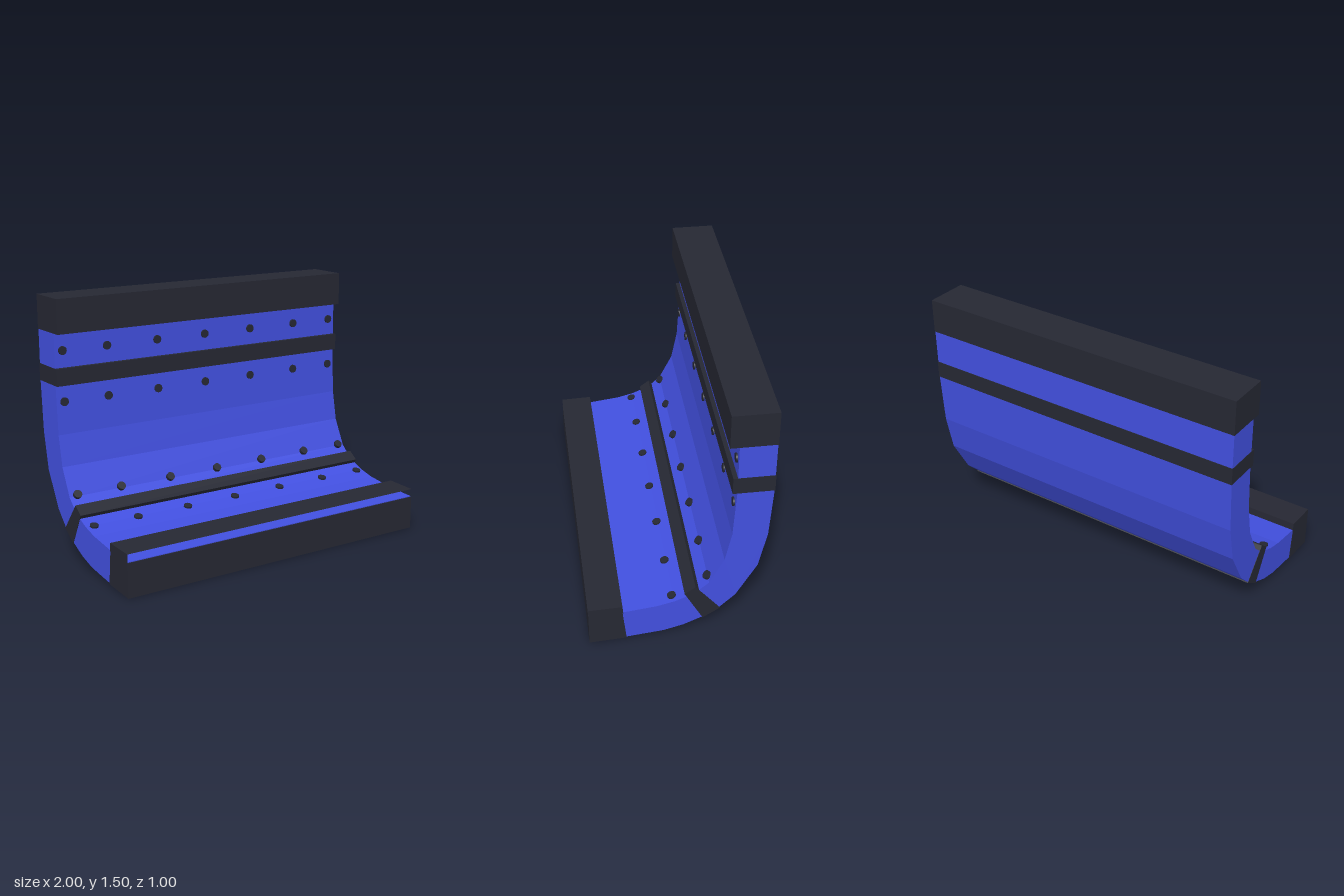
import * as THREE from 'three';

const blue = new THREE.MeshStandardMaterial({ color: 0x4250e0 });
const dark = new THREE.MeshStandardMaterial({ color: 0x262833 });

// Extrudes a side profile of [z, y] points along x, centred on x = 0
function profileMesh(name, points, width, material) {
  const shape = new THREE.Shape(points.map(([z, y]) => new THREE.Vector2(z, y)));
  const geometry = new THREE.ExtrudeGeometry(shape, { depth: width, bevelEnabled: false });
  geometry.translate(0, 0, -width / 2).rotateY(-Math.PI / 2);
  const mesh = new THREE.Mesh(geometry, material);
  mesh.name = name;
  return mesh;
}

// Thin lip with an open front: top, back and both ends only
function openLip(name, [frontBottom, frontTop, backTop, backBottom], material) {
  const ring = [frontBottom, frontTop, backTop, backBottom];
  const corners = [-1, 1].flatMap((x) => ring.map(([z, y]) => [x, y, z])).flat();
  const quads = [[1, 5, 6, 2], [2, 6, 7, 3], [0, 1, 2, 3], [4, 7, 6, 5]];
  let geometry = new THREE.BufferGeometry();
  geometry.setAttribute('position', new THREE.Float32BufferAttribute(corners, 3));
  geometry.setIndex(quads.flatMap(([a, b, c, d]) => [a, b, c, a, c, d]));
  geometry = geometry.toNonIndexed();
  geometry.computeVertexNormals();
  const mesh = new THREE.Mesh(geometry, material);
  mesh.name = name;
  return mesh;
}

export function createModel() {
  const model = new THREE.Group();
  model.name = 'curvedBarrier';

  // Curved panel: outer curve going up, inner curve coming back down
  const outer = [
    [0.495, 0.004], [0.29, 0.017], [0.08, 0.04], [-0.03, 0.07], [-0.14, 0.12], [-0.23, 0.18],
    [-0.32, 0.27], [-0.435, 0.48], [-0.48, 0.7], [-0.497, 1.0], [-0.498, 1.5],
  ];
  const inner = [
    [-0.3, 1.5], [-0.3, 1.0], [-0.285, 0.72], [-0.25, 0.54], [-0.17, 0.38], [-0.11, 0.325],
    [-0.04, 0.285], [0.02, 0.26], [0.12, 0.235], [0.31, 0.212], [0.495, 0.204],
  ];
  model.add(profileMesh('curvedPanel', [...outer, ...inner], 1.996, blue));

  // Top cap, straps and front edge block
  model.add(profileMesh('topCap', [[-0.5, 1.305], [-0.25, 1.305], [-0.25, 1.505], [-0.5, 1.505]], 2, dark));
  model.add(profileMesh('upperStrap', [[-0.5, 1.005], [-0.275, 1.005], [-0.275, 1.105], [-0.5, 1.105]], 2, dark));
  model.add(profileMesh('lowerStrap', [[-0.14, 0.113], [-0.035, 0.31], [-0.095, 0.355], [-0.237, 0.178]], 2, dark));
  model.add(profileMesh('frontBlock', [[0.5, 0], [0.5, 0.2], [0.31, 0.207], [0.29, 0.012]], 2, dark));
  model.add(openLip('frontLip', [[0.5, 0.2], [0.5, 0.25], [0.31, 0.256], [0.306, 0.207]], dark));

  // Rows of rivets along the inner face, each with its surface normal [z, y]
  const rows = [
    { name: 'topRivet', z: -0.3, y: 1.205, normal: [1, 0] },
    { name: 'upperRivet', z: -0.296, y: 0.91, normal: [1, 0.05] },
    { name: 'lowerRivet', z: -0.165, y: 0.392, normal: [0.75, 0.66] },
    { name: 'frontRivet', z: 0.03, y: 0.258, normal: [0.24, 0.97] },
  ];
  const rivetGeometry = new THREE.CylinderGeometry(0.025, 0.025, 0.02, 16);
  const up = new THREE.Vector3(0, 1, 0);
  for (const { name, z, y, normal } of rows) {
    const direction = new THREE.Vector3(0, normal[1], normal[0]).normalize();
    for (const x of [-0.95, -0.667, -0.333, 0, 0.333, 0.667, 0.95]) {
      const rivet = new THREE.Mesh(rivetGeometry, dark);
      rivet.name = name;
      rivet.position.set(x, y, z);
      rivet.quaternion.setFromUnitVectors(up, direction);
      model.add(rivet);
    }
  }
  return model;
}
